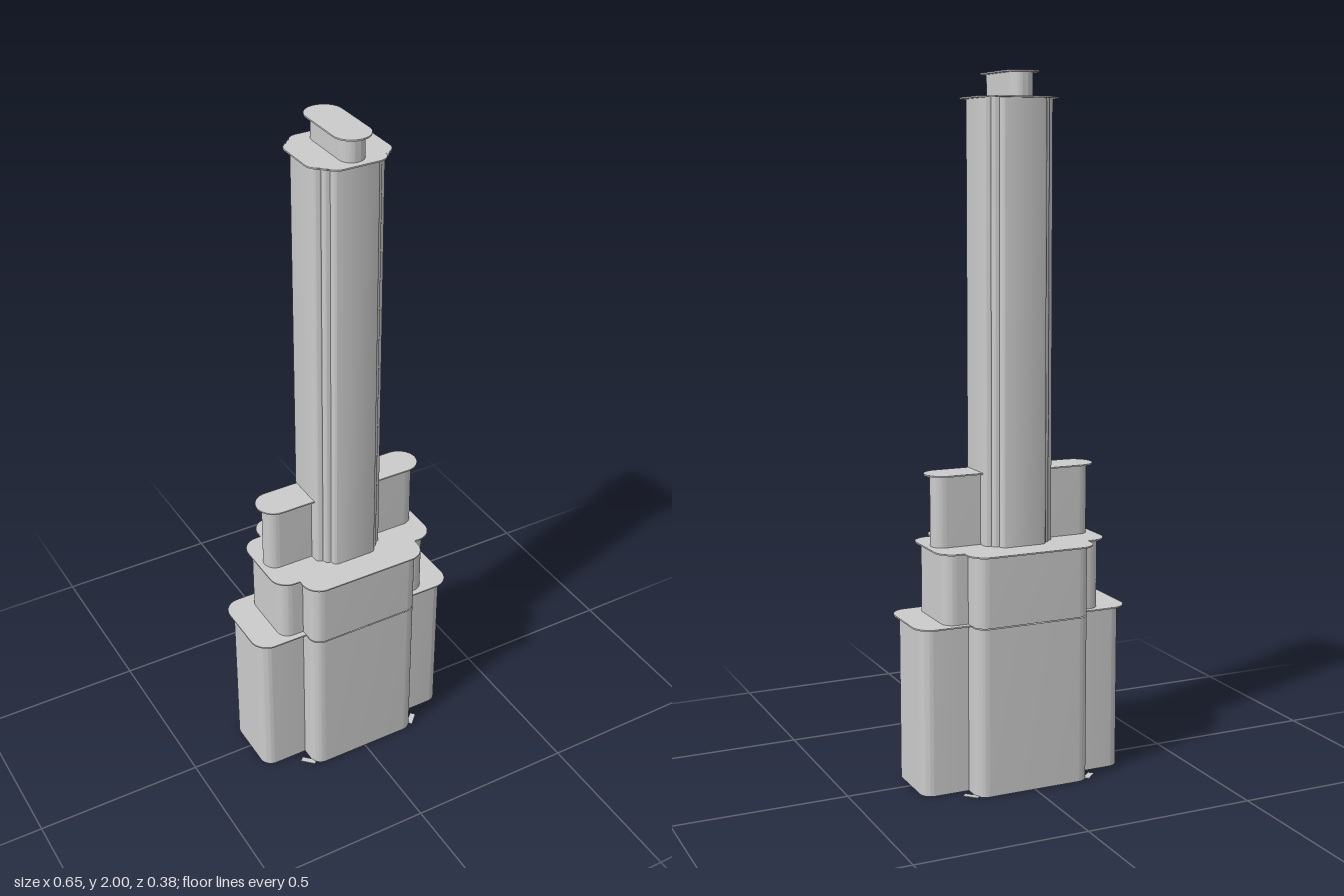
import * as THREE from 'three';
import { toCreasedNormals } from 'three/addons/utils/BufferGeometryUtils.js';

const LIP = 0.0175;      // overhang of every roof edge
const SLAB = 0.004;      // roof thickness
const material = new THREE.MeshStandardMaterial({ color: 0xcccccc, side: THREE.DoubleSide });

// Outline from one quarter of a stepped plan: corners run from the x axis to the z axis,
// alternating outer (rounded) and inner (sharp); the other quarters are mirrored.
function outline(quarter, radius, grow = 0) {
  const signs = [[1, 1], [-1, 1], [-1, -1], [1, -1]];
  const shape = new THREE.Shape();
  const r = radius + grow;
  signs.forEach(([sx, sz], q) => {
    const corners = quarter.map(([x, z], i) => ({ x: sx * (x + grow), z: sz * (z + grow), outer: i % 2 === 0 }));
    if (q % 2) corners.reverse();
    corners.forEach((c, i) => {
      if (c.outer) {
        const a = q * Math.PI / 2;
        const cx = c.x - sx * r, cz = c.z - sz * r;
        if (q === 0 && i === 0) shape.moveTo(cx + r, cz);
        shape.absarc(cx, cz, r, a, a + Math.PI / 2, false);
      } else shape.lineTo(c.x, c.z);
    });
  });
  shape.closePath();
  return shape;
}

// Open wall standing on a closed outline
function wall(shape, y0, y1) {
  const pts = shape.getPoints(8);
  const pos = [];
  pts.forEach((a, i) => {
    const b = pts[(i + 1) % pts.length];
    if (a.distanceTo(b) < 1e-5) return;
    pos.push(a.x, y0, -a.y, b.x, y0, -b.y, b.x, y1, -b.y);
    pos.push(a.x, y0, -a.y, b.x, y1, -b.y, a.x, y1, -a.y);
  });
  const g = new THREE.BufferGeometry();
  g.setAttribute('position', new THREE.Float32BufferAttribute(pos, 3));
  return toCreasedNormals(g, 0.5);
}

// Thin flat roof with overhanging edge
function roof(shape, top) {
  const g = new THREE.ExtrudeGeometry(shape, { depth: SLAB, bevelEnabled: false, curveSegments: 8 });
  return g.rotateX(-Math.PI / 2).translate(0, top - SLAB, 0);
}

export function createModel() {
  const model = new THREE.Group();
  model.name = 'tower';
  const add = (name, geometry) => {
    const mesh = new THREE.Mesh(geometry, material);
    mesh.name = name;
    model.add(mesh);
    return mesh;
  };

  const core = [[0.174, 0.104], [0.174, 0.174]];
  const lowerWings = [[0.31, 0.104]];
  const tiers = [
    { name: 'base', plan: [...lowerWings, ...core], roofPlan: lowerWings, r: 0.035, y0: 0, y1: 0.487 },
    { name: 'podium', plan: [[0.242, 0.104], ...core], r: 0.035, y0: 0.487, y1: 0.693 },
    { name: 'upperWings', plan: [[0.242, 0.035]], r: 0.035, y0: 0.693, y1: 0.9 },
    {
      name: 'shaft', r: 0.017, y0: 0.693, y1: 1.932,
      plan: [[0.105, 0.07], [0.087, 0.07], [0.087, 0.087], [0.07, 0.087], [0.07, 0.105]],
    },
    { name: 'crown', plan: [[0.035, 0.104]], r: 0.035, y0: 1.932, y1: 2 },
  ];
  for (const t of tiers) {
    add(t.name + 'Walls', wall(outline(t.plan, t.r), t.y0, t.y1 - SLAB / 2));
    add(t.name + 'Roof', roof(outline(t.roofPlan || t.plan, t.r, LIP), t.y1));
  }

  // Small flat ground tabs beside the four main corners
  for (const sx of [-1, 1]) for (const sz of [-1, 1]) {
    const tab = add('groundTab', new THREE.BoxGeometry(0.045, 0.002, 0.0175));
    tab.position.set(sx * 0.185, 0.001, sz * 0.147);
    tab.rotation.y = sx * sz * Math.PI / 4;
  }
  return model;
}
